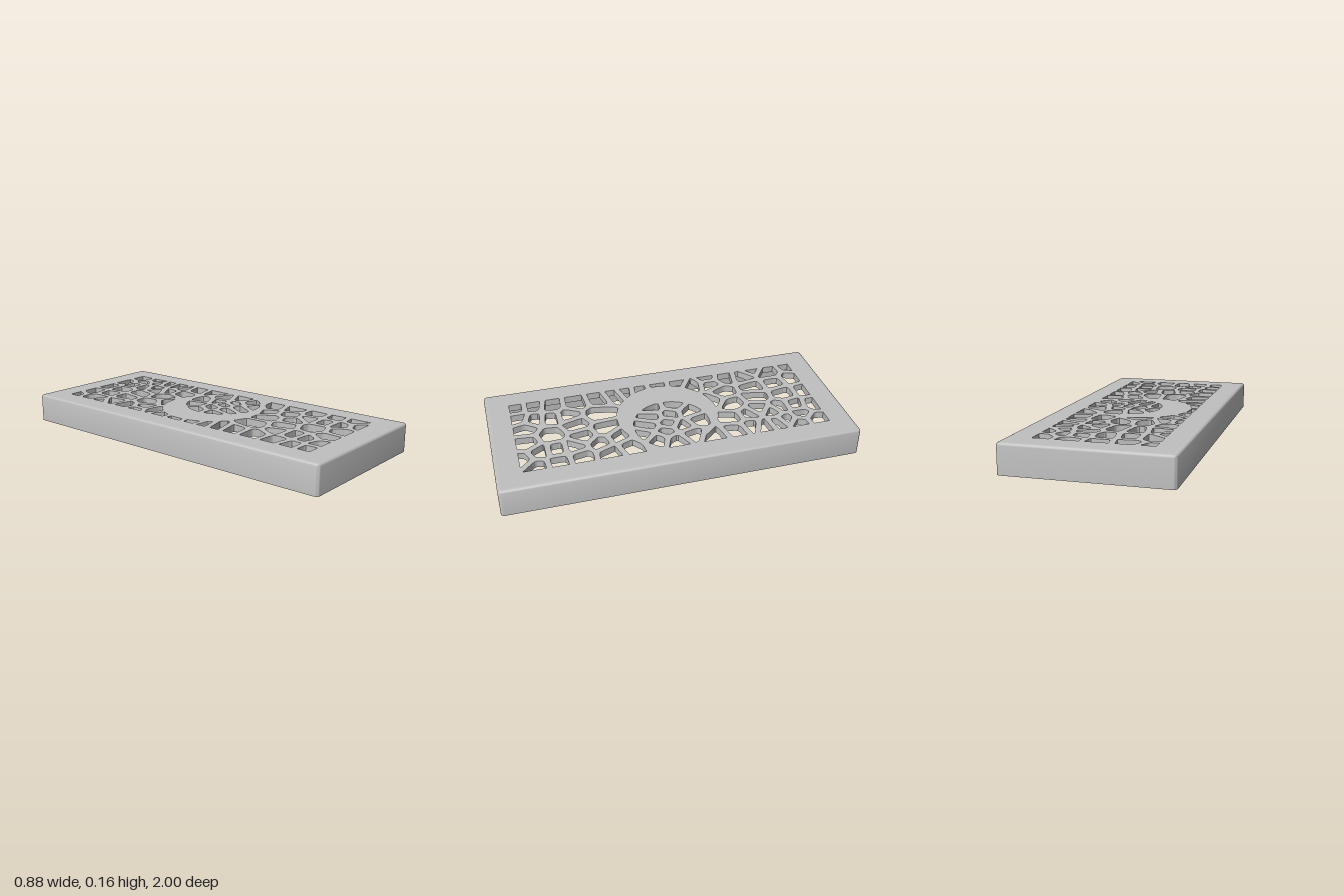
import * as THREE from 'three';
import { toCreasedNormals } from 'three/addons/utils/BufferGeometryUtils.js';

const W = 0.44, L = 1, H = 0.16, WALL = 0.02, CEIL = 0.12; // half width, half length, height
const WX = 0.31, WZ = 0.865, STRUT = 0.016;                 // lattice window and half strut

// Cell centres of the lattice as x, z pairs in hundredths
const backCells = [
  -28, -88, -16, -83, -2, -85, 13, -84, 27, -81, -25, -70, -14, -70, -2, -72, 11, -74, 20, -74, 28, -70,
  11, -65, 23, -64, -31, -62, -25, -55, -13, -57, -3, -55, 9, -52, 14, -59, 25, -58, 26, -50, -27, -43,
  -13, -37, -22, -33, 1, -39, 13, -45, 14, -35, 25, -33, 23, -43, -30, -33, -24, -22, -29, -14, -30, -2,
  -6, -29, 28, -20];
const frontCells = [
  -28, 10, -29, 18, -27, 26, -25, 35, -10, 38, 5, 37, 14, 31, 24, 27, 27, 38, 17, 42, -24, 49, -13, 55,
  -3, 52, 9, 50, 26, 54, 17, 56, -25, 63, -13, 65, -27, 73, -14, 74, 3, 67, 17, 66, 27, 66, -27, 83,
  -6, 80, 7, 81, 17, 75, 21, 85, 28, 78, -17, 83];
const innerCells = [
  2, -13, -7, -5, 1, -1, -7, 7, 1, 9, 10, -15, 9, 2, 14, -6, 16, 5, 22, -8, 26, 1, 9, 13, 22, 11, 16, 17];

// Crescent: outer disc minus inner disc
const outerDisc = { x: 0.01, z: 0, r: 0.29 }, innerDisc = { x: 0.105, z: 0, r: 0.215 };

const toSites = (list, inner) =>
  Array.from({ length: list.length / 2 }, (_, i) => ({ x: list[2 * i] / 100, z: list[2 * i + 1] / 100, inner }));

const lerp = (a, b, t) => ({ x: a.x + (b.x - a.x) * t, z: a.z + (b.z - a.z) * t });

// Keep the part of a convex polygon where nx*x + nz*z <= d
function clipLine(poly, nx, nz, d) {
  const out = [];
  poly.forEach((a, i) => {
    const b = poly[(i + 1) % poly.length];
    const da = nx * a.x + nz * a.z - d, db = nx * b.x + nz * b.z - d;
    if (da <= 0) out.push(a);
    if (da * db < 0) out.push(lerp(a, b, da / (da - db)));
  });
  return out;
}

// Voronoi cell, shrunk by half a strut
function cellOf(site, sites) {
  let poly = [[-WX, -WZ], [WX, -WZ], [WX, WZ], [-WX, WZ]].map(([x, z]) => ({ x, z }));
  for (const s of sites) {
    if (s === site) continue;
    const dx = s.x - site.x, dz = s.z - site.z, len = Math.hypot(dx, dz);
    const nx = dx / len, nz = dz / len;
    poly = clipLine(poly, nx, nz, nx * site.x + nz * site.z + len / 2 - STRUT);
  }
  return poly;
}

// Round the corners that do not lie on the window border
function roundCorners(poly) {
  const n = poly.length;
  return poly.flatMap((p, i) => {
    if (Math.abs(p.x) > WX - 0.002 || Math.abs(p.z) > WZ - 0.002) return [p];
    const a = lerp(p, poly[(i + n - 1) % n], 0.22), b = lerp(p, poly[(i + 1) % n], 0.22);
    return [a, lerp(lerp(a, b, 0.5), p, 0.5), b];
  });
}

// Cut a cell along a disc, closing it with an arc
function clipDisc(poly, disc, keepInside) {
  const pts = poly.flatMap((a, i) => {
    const b = poly[(i + 1) % poly.length];
    const n = Math.max(1, Math.ceil(Math.hypot(b.x - a.x, b.z - a.z) / 0.006));
    return Array.from({ length: n }, (_, k) => lerp(a, b, k / n));
  });
  const keep = pts.map(p => (Math.hypot(p.x - disc.x, p.z - disc.z) < disc.r) === keepInside);
  if (keep.every(Boolean)) return poly;
  const start = keep.findIndex((k, i) => k && !keep[(i + keep.length - 1) % keep.length]);
  if (start < 0) return [];
  const run = [];
  for (let i = 0; i < pts.length; i++) {
    const j = (start + i) % pts.length;
    if (keep[j]) run.push(pts[j]);
  }
  const angle = p => Math.atan2(p.z - disc.z, p.x - disc.x);
  const from = angle(run[run.length - 1]);
  let sweep = angle(run[0]) - from;
  sweep -= 2 * Math.PI * Math.round(sweep / (2 * Math.PI));
  for (let k = 1; k < 8; k++) {
    const a = from + sweep * k / 8;
    run.push({ x: disc.x + disc.r * Math.cos(a), z: disc.z + disc.r * Math.sin(a) });
  }
  return run;
}

const toVectors = poly => poly.map(p => new THREE.Vector2(p.x, -p.z));

// Top plate pierced by the cells
function latticeGeometry() {
  const x = W - WALL, z = L - WALL;
  const shape = new THREE.Shape(toVectors([{ x: -x, z }, { x, z }, { x, z: -z }, { x: -x, z: -z }]));
  const sites = [...toSites(backCells, false), ...toSites(frontCells, false), ...toSites(innerCells, true)];
  for (const site of sites) {
    const cell = cellOf(site, sites);
    if (cell.length < 3) continue;
    const hole = toVectors(clipDisc(roundCorners(cell), site.inner ? innerDisc : outerDisc, site.inner));
    if (hole.length > 2 && Math.abs(THREE.ShapeUtils.area(hole)) > 0.0004) shape.holes.push(new THREE.Path(hole));
  }
  const geo = new THREE.ExtrudeGeometry(shape, { depth: H - CEIL, bevelEnabled: false });
  return geo.rotateX(-Math.PI / 2).translate(0, CEIL, 0);
}

// Hollow rim lofted through rounded rectangles, given as [inset, height]
function rimGeometry() {
  const R = 0.02, B = 0.015, STEPS = 6;
  const profile = [[WALL, CEIL], [WALL, 0], [0, 0]];
  for (let i = 0; i <= 5; i++) {
    const a = i / 5 * Math.PI / 2;
    profile.push([B - B * Math.cos(a), H - B + B * Math.sin(a)]);
  }
  profile.push([WALL, H]);
  const pos = [], index = [], n = 4 * (STEPS + 1);
  for (const [inset, y] of profile)
    for (let c = 0; c < 4; c++)
      for (let k = 0; k <= STEPS; k++) {
        const a = (c + k / STEPS) * Math.PI / 2, r = R - inset;
        const sx = c === 0 || c === 3 ? 1 : -1, sz = c < 2 ? 1 : -1;
        pos.push(sx * (W - R) + r * Math.cos(a), y, sz * (L - R) + r * Math.sin(a));
      }
  for (let j = 0; j < profile.length - 1; j++)
    for (let i = 0; i < n; i++) {
      const a = j * n + i, b = j * n + (i + 1) % n;
      index.push(a, a + n, b, b, a + n, b + n);
    }
  const geo = new THREE.BufferGeometry();
  geo.setAttribute('position', new THREE.Float32BufferAttribute(pos, 3));
  geo.setIndex(index);
  return toCreasedNormals(geo, 0.6);
}

export function createModel() {
  const group = new THREE.Group();
  group.name = 'ventCover';
  const grey = new THREE.MeshStandardMaterial({ color: 0xc0c0c0 });
  grey.name = 'grey';
  const add = (name, geo) => {
    const mesh = new THREE.Mesh(geo, grey);
    mesh.name = name;
    group.add(mesh);
    return mesh;
  };
  add('rim', rimGeometry());
  add('latticePanel', latticeGeometry());
  // Snap bumps on the inside of the long walls
  for (const sx of [-1, 1])
    for (const sz of [-1, 1])
      add('snapBump', new THREE.SphereGeometry(0.016, 16, 10)).position.set(sx * (W - WALL), 0.06, sz * 0.67);
  return group;
}
